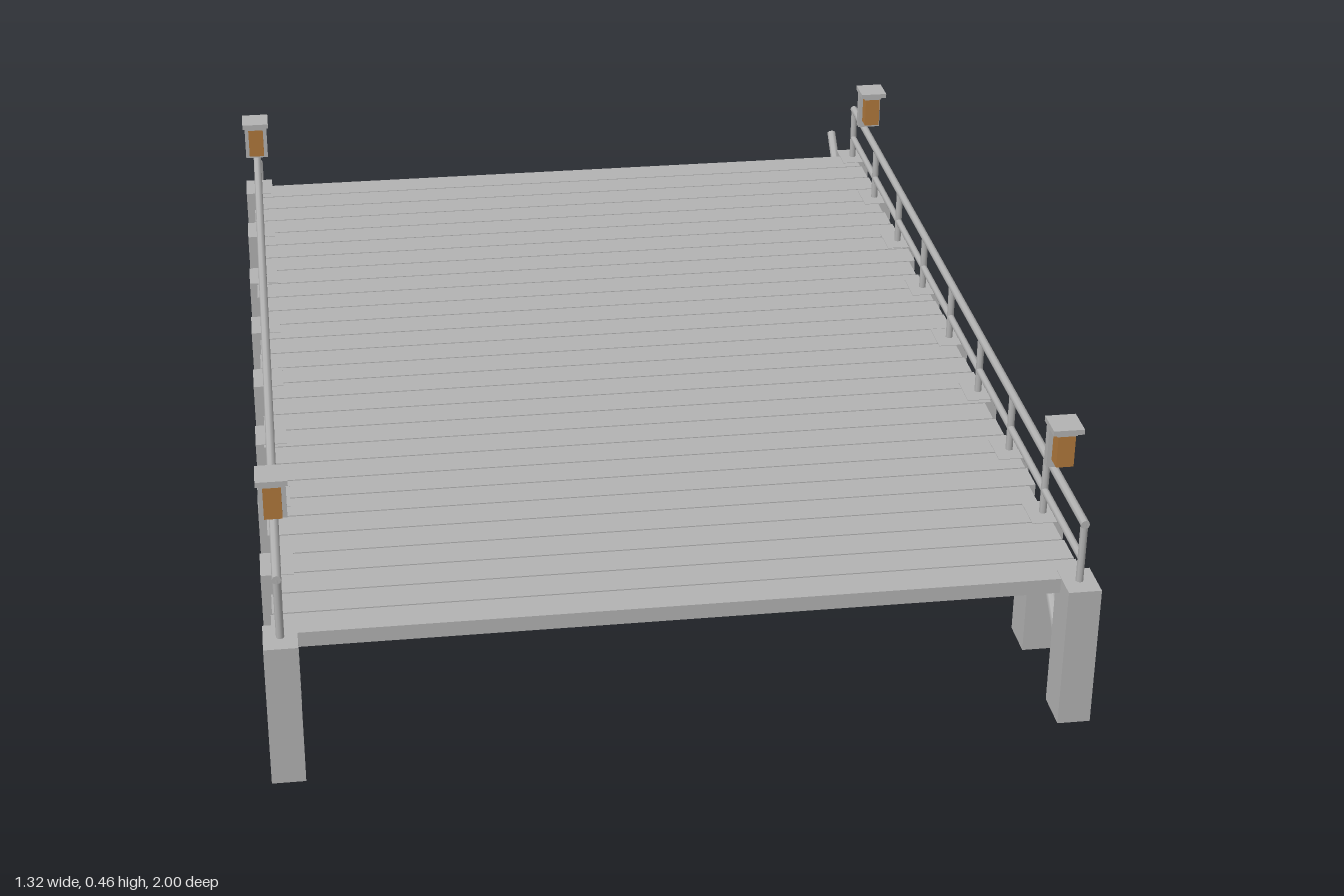
import * as THREE from 'three';

export function createModel() {
  const model = new THREE.Group();
  const grey = new THREE.MeshStandardMaterial({ color: 0xb3b3b3 });
  grey.name = 'weathered grey';
  const amber = new THREE.MeshStandardMaterial({ color: 0xb0783c });
  amber.name = 'lamp amber';

  const add = (name, geometry, x, y, z, parent = model, material = grey) => {
    const mesh = new THREE.Mesh(geometry, material);
    mesh.name = name;
    mesh.position.set(x, y, z);
    parent.add(mesh);
    return mesh;
  };
  const box = (w, h, d) => new THREE.BoxGeometry(w, h, d);

  // Round bar between two points
  const bar = (name, a, b, r) => {
    const dir = b.clone().sub(a);
    const mid = a.clone().add(b).multiplyScalar(0.5);
    const mesh = add(name, new THREE.CylinderGeometry(r, r, dir.length(), 8), mid.x, mid.y, mid.z);
    mesh.quaternion.setFromUnitVectors(new THREE.Vector3(0, 1, 0), dir.normalize());
  };
  const P = (x, y, z) => new THREE.Vector3(x, y, z);

  // Deck planks with slightly uneven ends
  const count = 29, back = -0.78, front = 0.956;
  const pitch = (front - back) / count;
  const lengths = [1.28, 1.292, 1.272, 1.286, 1.296];
  for (let i = 0; i < count; i++) {
    const z = back + pitch * (i + 0.5);
    add('plank', box(lengths[(i * 3) % 5], 0.026, pitch - 0.003), 0, 0.235, z);
  }

  // Cross beams under the deck
  for (const z of [0.82, 0.095, -0.63]) add('crossBeam', box(1.26, 0.04, 0.033), 0, 0.202, z);

  // Pilings, diagonal braces and railings on both sides
  const first = 0.964, spacing = 0.2174, bays = 9;
  for (const side of [-1, 1]) {
    const railX = side * 0.635;
    for (let i = 0; i < bays; i++) {
      const z = first - i * spacing;
      add('piling', box(0.054, 0.249, 0.07), side * 0.635, 0.1245, z);
      bar('brace', P(railX, 0.03, z - 0.01), P(railX, 0.213, z - 0.22), 0.009);
      bar('railPost', P(railX, 0.24, z), P(railX, 0.356, z), 0.0065);
    }
    const last = first - (bays - 1) * spacing;
    bar('topRail', P(railX, 0.355, first + 0.006), P(railX, 0.355, last - 0.006), 0.0075);
    bar('middleRail', P(railX, 0.291, first), P(railX, 0.291, last), 0.0065);

    // Lanterns: back plate, cap and glowing front
    for (const z of [0.824, -0.628]) {
      const lantern = new THREE.Group();
      lantern.name = 'lantern';
      lantern.position.set(side * 0.635, 0, z);
      model.add(lantern);
      add('backPlate', box(0.044, 0.081, 0.016), 0, 0.4145, -0.017, lantern);
      add('cap', box(0.051, 0.009, 0.054), 0, 0.4555, 0, lantern);
      add('lampHead', box(0.034, 0.006, 0.03), 0, 0.448, 0.005, lantern);
      add('lampGlass', box(0.029, 0.058, 0.027), 0, 0.417, 0.0045, lantern, amber);
    }
  }
  return model;
}
